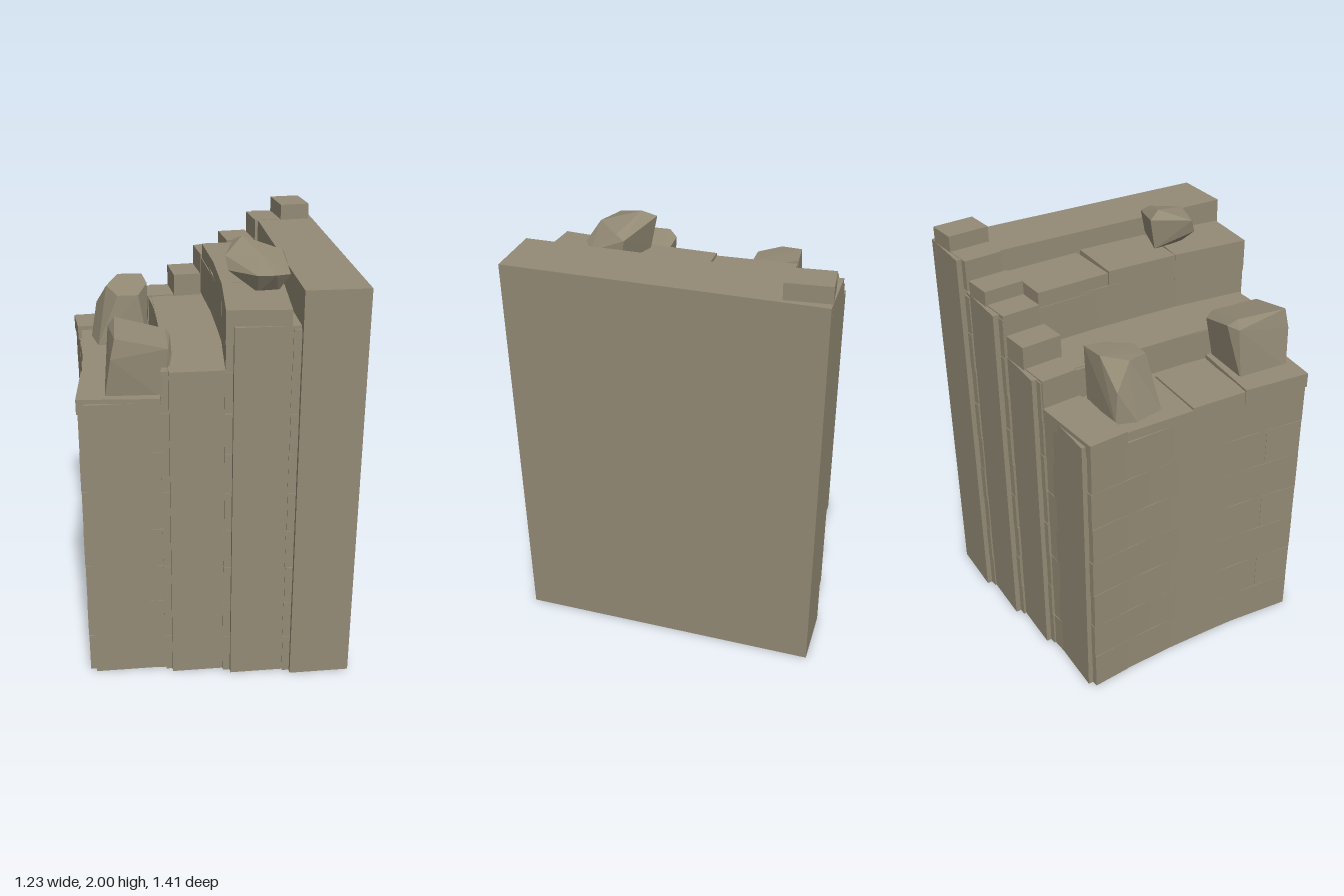
import * as THREE from 'three';
import { ConvexGeometry } from 'three/addons/geometries/ConvexGeometry.js';

const stone = new THREE.MeshStandardMaterial({ color: 0x938a75 });
stone.name = 'weathered stone';
const R = 5.7; // radius of the curved masonry
const COURSE = 0.191;

export function createModel() {
  const model = new THREE.Group();
  model.name = 'ruinedWall';

  function add(parent, name, geometry, x = 0, y = 0, z = 0) {
    const mesh = new THREE.Mesh(geometry, stone);
    mesh.name = name;
    mesh.position.set(x, y, z);
    parent.add(mesh);
    return mesh;
  }

  // A block following the arc: x range at mid wall, y range, z range along the arc
  function block(parent, name, [x0, x1], [y0, y1], [z0, z1]) {
    const r = R + (x0 + x1) / 2;
    const a = (z0 + z1) / 2 / r;
    const geo = new THREE.BoxGeometry(x1 - x0, y1 - y0, z1 - z0);
    const mesh = add(parent, name, geo, r * Math.cos(a) - R, (y0 + y1) / 2, r * Math.sin(a));
    mesh.rotation.y = -a;
  }

  // Stepped layers, each a solid core with staggered courses of bricks
  const layers = [
    { x: [-0.58, -0.22], top: 1.38, half: 0.59, arc: 0.582, courses: 7 },
    { x: [-0.22, 0.05], top: 1.53, half: 0.63, arc: 0.618, courses: 8 },
    { x: [0.05, 0.33], top: 1.73, half: 0.67, arc: 0.657, courses: 9 },
    { x: [0.33, 0.61], top: 1.89, half: 0.705, arc: 0.692, courses: 9 },
  ];
  layers.forEach(({ x, top, half, arc, courses }, i) => {
    const layer = new THREE.Group();
    layer.name = 'wallLayer' + (i + 1);
    model.add(layer);
    add(layer, 'core', new THREE.BoxGeometry(x[1] - x[0], top, half * 2), (x[0] + x[1]) / 2, top / 2, 0);
    const short = 0.19;
    const long = (arc * 2 - short) / 3;
    for (let c = 0; c < courses; c++) {
      const lengths = c % 2 ? [long, long, long, short] : [short, long, long, long];
      let z = -arc;
      for (const len of lengths) {
        block(layer, 'brick', [x[0] + 0.001, x[1] - 0.003],
          [c * COURSE, (c + 1) * COURSE - 0.002], [z + 0.001, z + len - 0.001]);
        z += len;
      }
    }
  });

  // Remaining top stones
  const caps = [
    [[-0.585, -0.225], [1.33, 1.4], [-0.585, -0.395]],
    [[-0.58, -0.26], [1.33, 1.39], [-0.03, 0.25]],
    [[-0.585, -0.225], [1.33, 1.4], [0.255, 0.585]],
    [[-0.225, -0.09], [1.4, 1.535], [-0.605, -0.43]],
    [[-0.09, 0.045], [1.5, 1.64], [-0.625, -0.43]],
    [[0.05, 0.185], [1.6, 1.735], [-0.645, -0.46]],
    [[0.185, 0.325], [1.65, 1.8], [-0.665, -0.47]],
    [[0.055, 0.33], [1.65, 1.79], [-0.46, -0.095]],
    [[0.05, 0.33], [1.65, 1.8], [-0.085, 0.27]],
    [[0.05, 0.325], [1.65, 1.8], [0.28, 0.66]],
    [[0.335, 0.465], [1.75, 1.892], [-0.685, -0.5]],
    [[0.465, 0.61], [1.82, 1.965], [-0.7, -0.5]],
  ];
  const capGroup = new THREE.Group();
  capGroup.name = 'topStones';
  model.add(capGroup);
  for (const [x, y, z] of caps) block(capGroup, 'topStone', x, y, z);

  // Loose broken boulders
  function boulder(name, points) {
    add(model, name, new ConvexGeometry(points.map((p) => new THREE.Vector3(...p))));
  }
  boulder('frontBoulder', [
    [-0.43, 1.67, 0.29], [-0.21, 1.615, 0.31], [-0.215, 1.61, 0.56], [-0.44, 1.66, 0.55],
    [-0.46, 1.63, 0.28], [-0.41, 1.64, 0.25], [-0.22, 1.59, 0.27], [-0.19, 1.6, 0.33],
    [-0.2, 1.58, 0.55], [-0.46, 1.57, 0.56], [-0.49, 1.38, 0.54], [-0.48, 1.38, 0.29],
    [-0.24, 1.38, 0.3], [-0.24, 1.38, 0.55],
  ]);
  boulder('backBoulder', [
    [-0.45, 1.64, -0.28], [-0.39, 1.665, -0.39], [-0.27, 1.66, -0.4], [-0.25, 1.64, -0.3],
    [-0.3, 1.62, -0.17], [-0.4, 1.62, -0.17], [-0.5, 1.53, -0.37], [-0.53, 1.38, -0.29],
    [-0.5, 1.38, -0.15], [-0.26, 1.38, -0.16], [-0.25, 1.38, -0.38], [-0.5, 1.38, -0.38],
  ]);
  boulder('upperBoulder', [
    [0.14, 2, 0.23], [0.11, 1.97, 0.17], [0.05, 1.95, 0.36], [0.2, 1.96, 0.4],
    [0.31, 1.95, 0.29], [0.325, 1.93, 0.25], [0.06, 1.89, 0.38], [0.18, 1.88, 0.45],
    [0.26, 1.88, 0.45], [0.33, 1.87, 0.4], [0.19, 1.79, 0.39], [0.28, 1.79, 0.38],
    [0.12, 1.82, 0.2], [0.32, 1.82, 0.27],
  ]);
  return model;
}
